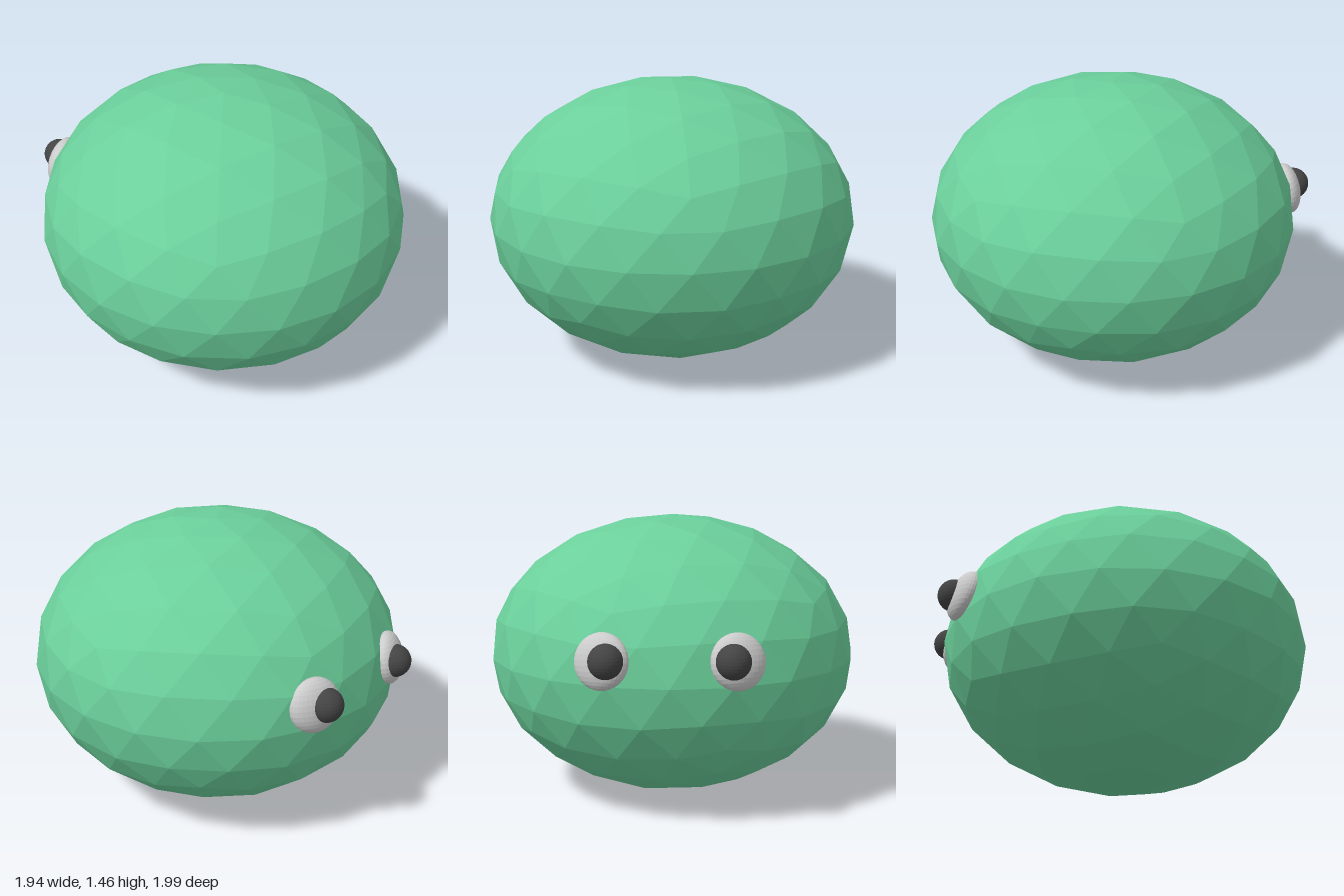
import * as THREE from 'three';

const material = (color) => new THREE.MeshStandardMaterial({ color, flatShading: true });

// Icosphere standing on a vertex, each icosahedron edge split in four
function icosphere() {
  const points = [0, 1, 0, 0, -1, 0];
  const faces = [];
  const h = 1 / Math.sqrt(5), r = 2 * h;
  for (let i = 0; i < 5; i++) {
    const a = (i * 2 * Math.PI) / 5, b = a + Math.PI / 5;
    points.push(r * Math.cos(a), h, -r * Math.sin(a)); // upper ring
    points.push(r * Math.cos(b), -h, -r * Math.sin(b)); // lower ring
    const up = 2 + 2 * i, low = up + 1;
    const nextUp = 2 + 2 * ((i + 1) % 5), nextLow = nextUp + 1;
    faces.push(0, up, nextUp, up, low, nextUp, low, nextLow, nextUp, 1, nextLow, low);
  }
  return new THREE.PolyhedronGeometry(points, faces, 1, 3);
}

export function createModel() {
  const model = new THREE.Group();
  model.name = 'roundCreature';

  // Squashed faceted body
  const bodyShape = icosphere().scale(0.97, 0.732, 0.97);
  bodyShape.computeVertexNormals();
  const body = new THREE.Mesh(bodyShape, material(0x6bcf9b));
  body.name = 'body';
  body.position.set(0, 0.732, 0.023);
  model.add(body);

  // Eyes: a flattened white lying on the body surface, with a round pupil
  const white = material(0xcccccc), dark = material(0x444444);
  const whiteShape = new THREE.SphereGeometry(1, 32, 16).scale(0.136, 0.136, 0.07);
  const pupilShape = new THREE.SphereGeometry(0.084, 32, 16);
  for (const side of [1, -1]) {
    const eye = new THREE.Group();
    eye.name = side > 0 ? 'leftEye' : 'rightEye';

    const eyeWhite = new THREE.Mesh(whiteShape, white);
    eyeWhite.name = 'eyeWhite';
    eyeWhite.position.set(side * 0.315, 0.847, -0.865);
    eyeWhite.lookAt(side * (0.315 + 0.36), 0.847 + 0.22, -0.865 - 0.93);

    const pupil = new THREE.Mesh(pupilShape, dark);
    pupil.name = 'pupil';
    pupil.position.set(side * 0.291, 0.856, -0.916);

    eye.add(eyeWhite, pupil);
    model.add(eye);
  }
  return model;
}
